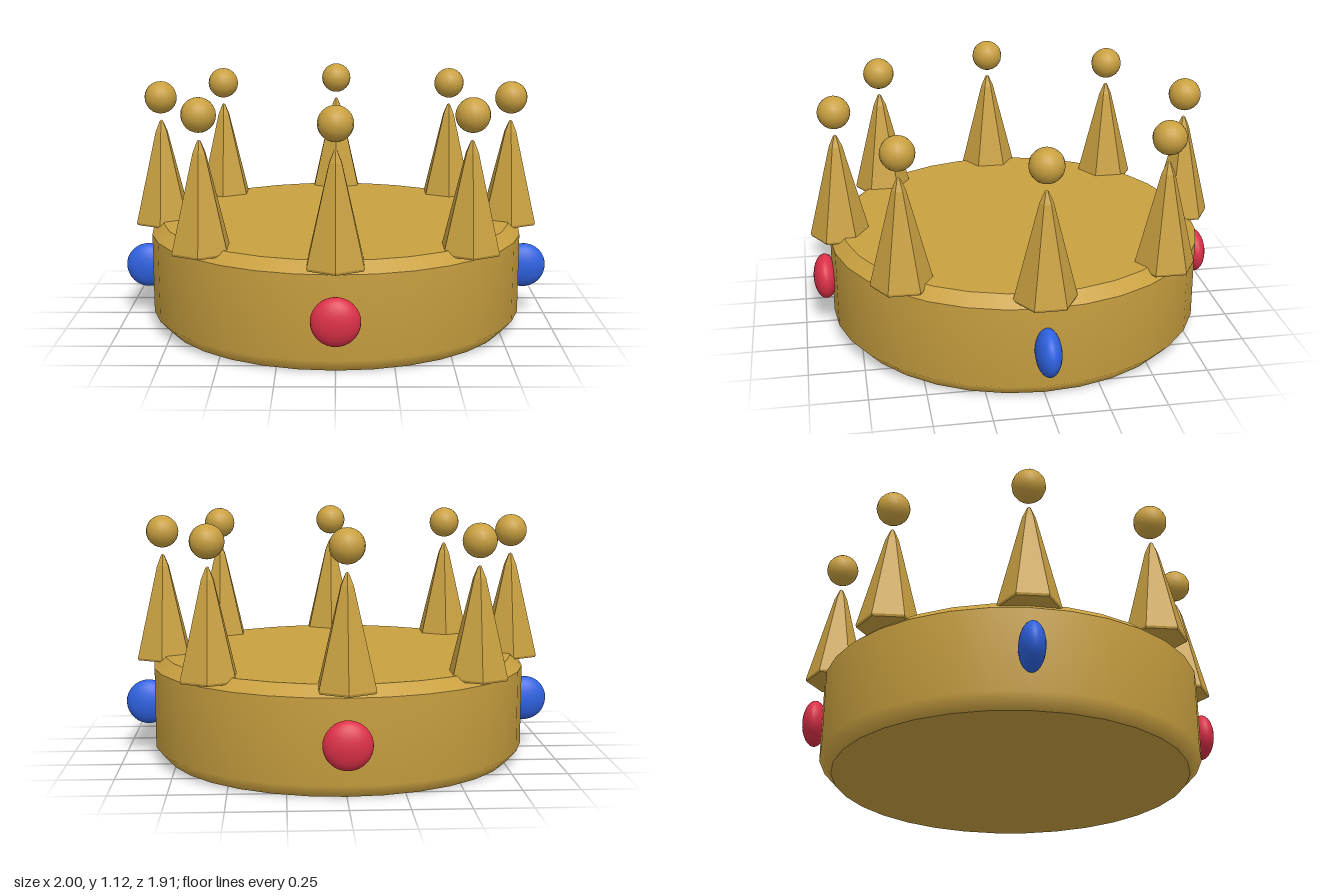
import * as THREE from 'three';

const gold = new THREE.MeshStandardMaterial({ color: 0xc9a040 });
gold.name = 'gold';
const red = new THREE.MeshStandardMaterial({ color: 0xdc3048 });
red.name = 'ruby red';
const blue = new THREE.MeshStandardMaterial({ color: 0x2f62e0 });
blue.name = 'sapphire blue';

// Surface of revolution from [radius, y] pairs, listed bottom to top
function lathe(points, sides) {
  return new THREE.LatheGeometry(points.map(([r, y]) => new THREE.Vector2(r, y)), sides);
}

function addMesh(parent, name, geometry, material, x = 0, y = 0, z = 0) {
  const mesh = new THREE.Mesh(geometry, material);
  mesh.name = name;
  mesh.position.set(x, y, z);
  parent.add(mesh);
  return mesh;
}

export function createModel() {
  const crown = new THREE.Group();
  crown.name = 'crown';

  // Solid band: separate lathes keep the rims crisp
  const band = new THREE.Group();
  band.name = 'band';
  crown.add(band);
  const bandParts = {
    bandBase: [[0, 0], [0.81, 0]],
    bandWall: [[0.81, 0], [0.865, 0.06], [0.865, 0.43]],
    bandBevel: [[0.865, 0.43], [0.81, 0.477]],
    bandTop: [[0.81, 0.477], [0, 0.477]],
  };
  for (const [name, points] of Object.entries(bandParts)) {
    addMesh(band, name, lathe(points, 32), gold);
  }

  // Eight faceted six-sided spikes, each with a ball floating above its tip
  const spike = lathe([
    [0, 0.45], [0.133, 0.45], [0.137, 0.46], [0.03, 0.885], [0.008, 0.935], [0, 0.94],
  ], 6).toNonIndexed();
  spike.computeVertexNormals();
  const ball = new THREE.SphereGeometry(0.075, 16, 12);
  const ringRadius = 0.816;
  for (let i = 0; i < 8; i++) {
    const angle = (i * Math.PI) / 4;
    const x = Math.sin(angle) * ringRadius;
    const z = Math.cos(angle) * ringRadius;
    addMesh(crown, 'spike', spike, gold, x, 0, z);
    addMesh(crown, 'spikeBall', ball, gold, x, 1.045, z);
  }

  // Four oval gems, all flattened along z
  const gem = new THREE.SphereGeometry(1, 24, 16);
  gem.scale(0.105, 0.105, 0.056);
  for (const side of [-1, 1]) {
    addMesh(crown, side > 0 ? 'frontGem' : 'backGem', gem, red, 0, 0.24, side * 0.897);
    addMesh(crown, side > 0 ? 'leftGem' : 'rightGem', gem, blue, side * 0.895, 0.24, 0);
  }

  return crown;
}
